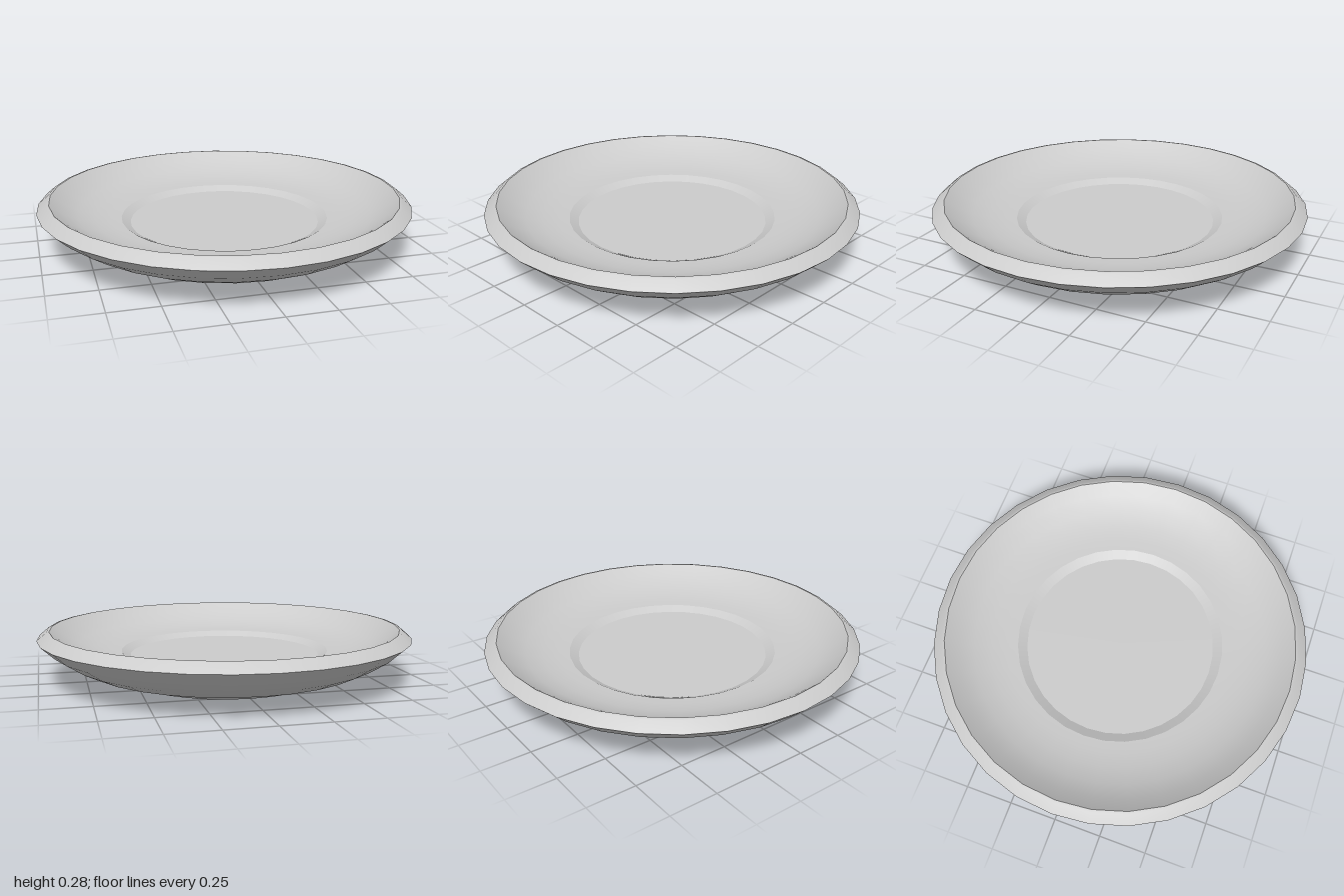
import * as THREE from 'three';

const SIDES = 32;

export function createModel() {
  const plate = new THREE.Group();
  plate.name = 'plate';
  const material = new THREE.MeshStandardMaterial({ color: 0xcccccc });

  // Each section is its own lathe, so shading is smooth inside it and creased between sections.
  // Profiles are [radius, height], running from the underside out and over to the floor.
  const sections = {
    underside: [[0, 0.012], [0.48, 0.01]],
    footRing: [[0.48, 0.01], [0.54, 0]],
    footStep: [[0.54, 0], [0.58, 0.03]],
    outerWall: [[0.58, 0.03], [0.66, 0.041], [0.75, 0.064], [0.84, 0.108], [0.93, 0.166], [1, 0.23]],
    rim: [[1, 0.23], [0.95, 0.272], [0.935, 0.275]],
    innerWall: [[0.935, 0.275], [0.87, 0.227], [0.79, 0.188], [0.7, 0.163], [0.62, 0.153], [0.56, 0.149]],
    floorStep: [[0.56, 0.149], [0.512, 0.124]],
    floor: [[0.512, 0.124], [0, 0.124]],
  };

  for (const [name, profile] of Object.entries(sections)) {
    const points = profile.map(([r, y]) => new THREE.Vector2(r, y));
    const mesh = new THREE.Mesh(new THREE.LatheGeometry(points, SIDES), material);
    mesh.name = name;
    plate.add(mesh);
  }
  return plate;
}
